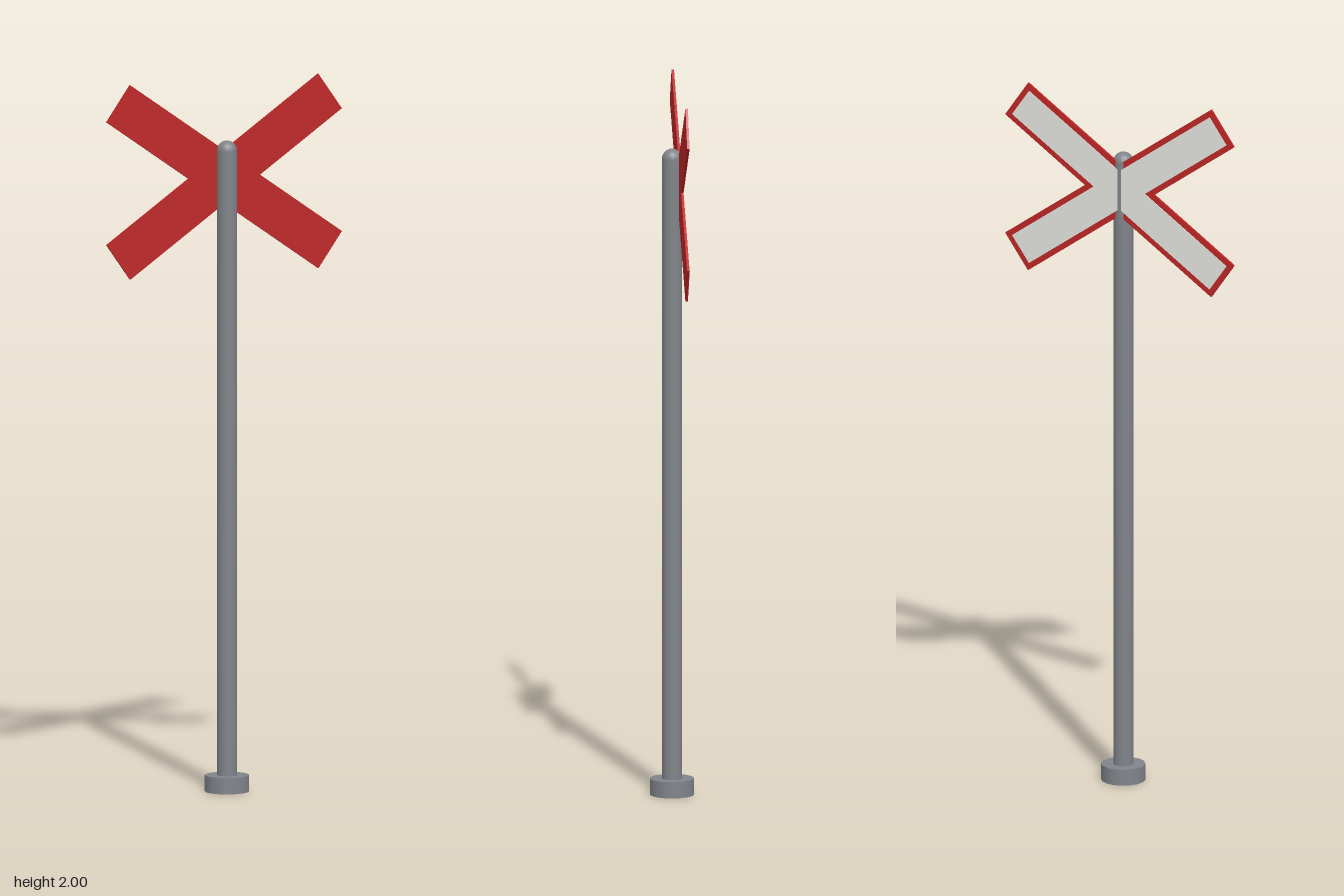
import * as THREE from 'three';

const material = (name, color) => {
  const m = new THREE.MeshStandardMaterial({ color });
  m.name = name;
  return m;
};

export function createModel() {
  const model = new THREE.Group();
  model.name = 'crossingSign';
  const grey = material('steel grey', 0x808489);
  const red = material('sign red', 0xbe2626);
  const white = material('sign white', 0xe4e4e0);

  const add = (name, geometry, mat, x, y, z, parent = model) => {
    const mesh = new THREE.Mesh(geometry, mat);
    mesh.name = name;
    mesh.position.set(x, y, z);
    parent.add(mesh);
    return mesh;
  };

  // Footing, post and domed cap
  const R = 0.028, postTop = 1.803, footHeight = 0.046;
  add('footing', new THREE.CylinderGeometry(0.062, 0.062, footHeight, 16), grey, 0, footHeight / 2, 0);
  add('post', new THREE.CylinderGeometry(R, R, postTop, 16, 1, true), grey, 0, postTop / 2, 0);
  add('cap', new THREE.SphereGeometry(R, 16, 8, 0, Math.PI * 2, 0, Math.PI / 2), grey, 0, postTop, 0);

  // Two crossed boards, each a red plate with an inset white panel on the back
  const length = 0.778, width = 0.123, margin = 0.016;
  for (const side of [-1, 1]) {
    const board = new THREE.Group();
    board.name = side < 0 ? 'fallingBoard' : 'risingBoard';
    board.position.set(0, 1.7265, 0);
    board.rotation.z = side * THREE.MathUtils.degToRad(35);
    add('redPlate', new THREE.BoxGeometry(length, width, 0.007), red, 0, 0, -0.0215, board);
    add('whitePanel', new THREE.BoxGeometry(length - 2 * margin, width - 2 * margin, 0.003),
      white, 0, 0, -0.0255, board);
    model.add(board);
  }
  return model;
}
